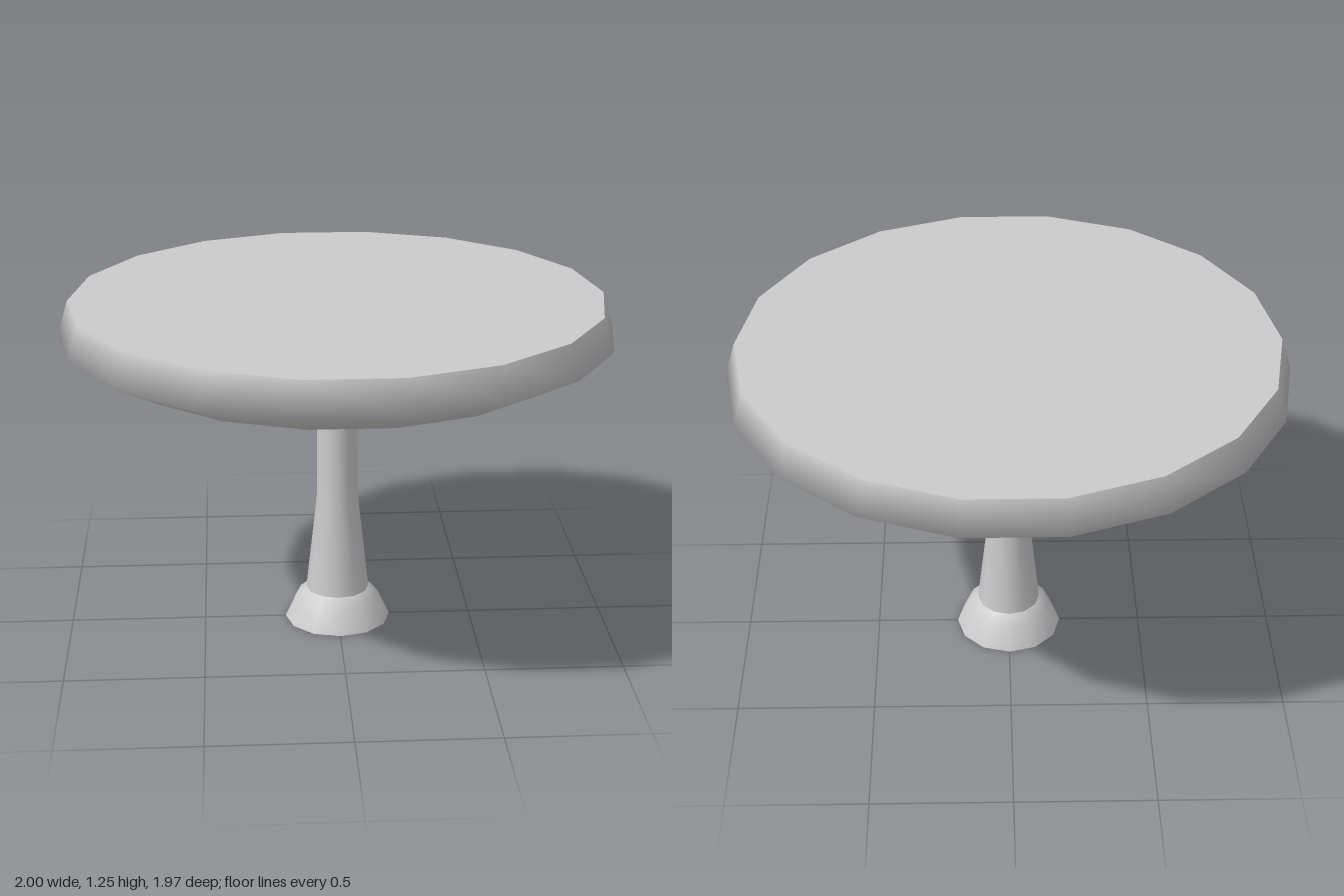
import * as THREE from 'three';

const material = new THREE.MeshStandardMaterial({ color: 0xcccccc });

// Turned surface from [radius, y] points, listed from the bottom up; first corner lies on +x
function turned(name, sides, profile) {
  const points = profile.map(([r, y]) => new THREE.Vector2(r, y));
  const mesh = new THREE.Mesh(new THREE.LatheGeometry(points, sides, Math.PI / 2), material);
  mesh.name = name;
  return mesh;
}

export function createModel() {
  const model = new THREE.Group();
  model.name = 'pedestalTable';

  // Table top: flat surface, smooth rim, shallow conical underside (separate for sharp edges)
  const top = new THREE.Group();
  top.name = 'tableTop';
  top.add(
    turned('underside', 18, [[0, 1.01], [0.83, 1.04]]),
    turned('rim', 18, [[0.83, 1.04], [1, 1.13], [0.962, 1.252]]),
    turned('surface', 18, [[0.962, 1.252], [0, 1.252]])
  );

  // Pedestal: flared foot blending into a tapered column
  const pedestal = new THREE.Group();
  pedestal.name = 'pedestal';
  pedestal.add(
    turned('footBase', 12, [[0, 0], [0.196, 0]]),
    turned('foot', 12, [[0.196, 0], [0.155, 0.09], [0.117, 0.12]]),
    turned('column', 12, [[0.117, 0.12], [0.075, 0.5], [0.075, 1.015]])
  );

  model.add(top, pedestal);
  return model;
}
